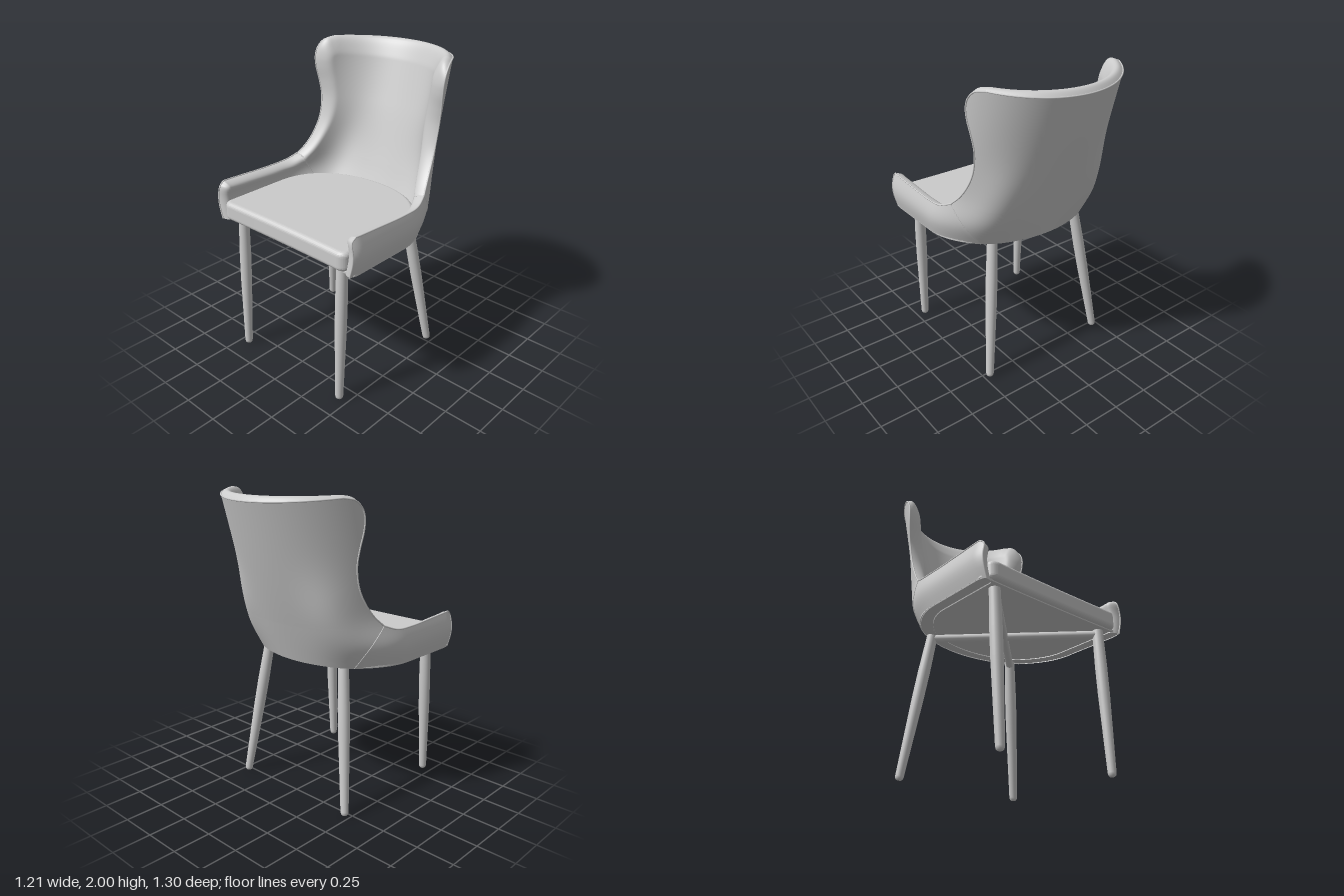
import * as THREE from 'three';

const BASE = 0.942;
const mat = new THREE.MeshStandardMaterial({ color: 0xcccccc, side: THREE.DoubleSide });
const V = (x, y, z = 0) => new THREE.Vector3(x, y, z);
const curve = pts => new THREE.CatmullRomCurve3(pts.map(p => V(...p)));
const ease = t => Math.sin(t * Math.PI / 2);
const bell = (v, mid, width) => Math.exp(-(((v - mid) / width) ** 2));
const { smoothstep, lerp, clamp } = THREE.MathUtils;

// Plan of the shell at height y: half ellipse behind, straight sides in front
function plan(y) {
  const t = (y - BASE) / 1.055;
  return {
    w: 0.555 + 0.05 * bell(y, 1.07, 0.145),
    zb: -0.292 - 0.358 * t - 0.016 * Math.sin(Math.PI * t),
    d: 0.47 + 0.1 * t,
  };
}
const angleAt = (z, y) => {
  const { zb, d } = plan(y);
  return Math.acos(clamp(1 - (z - zb) / d, 0, 1));
};
// Outer point and its outward direction, from angle s (and z once the side runs straight)
function shellPoint(s, y, z, side = 1) {
  const { w, zb, d } = plan(y);
  const n = V(d * Math.sin(s), 0, -w * Math.cos(s)).normalize();
  const middle = Math.max(0, Math.cos(s * 1.45));
  const tuck = z > 0.57 ? 0.018 * ((z - 0.57) / 0.07) ** 2 : 0;
  const dip = 0.028 * middle * clamp((y - 1.2) / 0.8, 0, 1);
  const p = V((w - tuck) * Math.sin(s), y - dip, z ?? zb + d * (1 - Math.cos(s)));
  // Fuller rear corners low on the back
  p.addScaledVector(n, 0.04 * bell(Math.abs(s), 0.7, 0.3) * bell(y, 1.25, 0.25));
  p.x *= side;
  n.x *= side;
  return {
    p, n, t: lerp(0.076, 0.095, smoothstep(y, 1.1, 1.6)),
    roll: lerp(0.05, 0.1, smoothstep(y, 1.2, 1.6)),
    crown: lerp(0.03, 0.05, middle) * smoothstep(y, 1.85, 1.96),
  };
}
const sidePoint = (q, side) => shellPoint(angleAt(q.x, q.y), q.y, q.x, side);

// Outlines in the side plane, as (z, y)
const seam = curve([[-0.15, BASE], [-0.135, 1.05], [-0.1, 1.13], [-0.04, 1.215]]);
const wing = curve([[-0.04, 1.215], [-0.1, 1.275], [-0.165, 1.37], [-0.21, 1.47], [-0.235, 1.6], [-0.23, 1.7],
  [-0.215, 1.8], [-0.215, 1.87], [-0.235, 1.925], [-0.28, 1.969], [-0.35, 1.985]]);
const armTop = curve([[-0.04, 1.215], [0.05, 1.182], [0.2, 1.175], [0.45, 1.185], [0.602, 1.192]]);
const armFront = curve([[0.638, BASE], [0.638, 1.08], [0.632, 1.165], [0.602, 1.192]]);
const TOP = wing.getPoint(1);

// The whole rim, from the front of one arm round to the other
function rimPath() {
  const half = [...armFront.getPoints(50), ...armTop.getPoints(100).reverse().slice(1), ...wing.getPoints(60).slice(1)];
  const left = half.map(q => sidePoint(q, 1).p);
  const right = half.map(q => sidePoint(q, -1).p).reverse();
  const sE = angleAt(TOP.x, TOP.y);
  const top = [];
  for (let i = 1; i < 120; i++) top.push(shellPoint(sE * (1 - i / 60), TOP.y).p);
  return [...left, ...top, ...right];
}

// Grid surface; fn(i, j) returns a point
function grid(nu, nv, fn, flip) {
  const pos = [], idx = [];
  for (let j = 0; j <= nv; j++) for (let i = 0; i <= nu; i++) pos.push(...fn(i, j).toArray());
  for (let j = 0; j < nv; j++) for (let i = 0; i < nu; i++) {
    const a = j * (nu + 1) + i, b = a + 1, c = a + nu + 1, e = c + 1;
    idx.push(...(flip ? [a, e, b, a, c, e] : [a, b, e, a, e, c]));
  }
  const g = new THREE.BufferGeometry();
  g.setAttribute('position', new THREE.Float32BufferAttribute(pos, 3));
  g.setIndex(idx);
  g.computeVertexNormals();
  return g;
}

function add(parent, geo, name) {
  const m = new THREE.Mesh(geo, mat);
  m.name = name;
  parent.add(m);
  return m;
}
const tube = (pts, r) => new THREE.TubeGeometry(new THREE.CatmullRomCurve3(pts), pts.length, r, 8);

// Flat U-shaped slab: nearly straight front, rounded back, extruded downward from yTop
function slab(w, front, mid, back, e, yTop, h, bevel) {
  const s = new THREE.Shape();
  const x = w - bevel, f = front - bevel, r = 0.025;
  s.moveTo(x, f - r);
  s.quadraticCurveTo(x, f - 0.003, x - r, f);
  s.quadraticCurveTo(0, f - 0.012, -x + r, f);
  s.quadraticCurveTo(-x, f - 0.003, -x, f - r);
  for (let i = 0; i <= 40; i++) {
    const a = Math.PI * i / 40, c = Math.cos(a);
    s.lineTo(-x * Math.sign(c) * Math.abs(c) ** e, mid - (mid - back - bevel) * Math.sin(a) ** e);
  }
  s.closePath();
  const g = new THREE.ExtrudeGeometry(s, {
    depth: h - 2 * bevel, bevelEnabled: bevel > 0, bevelSize: bevel, bevelThickness: bevel, bevelSegments: 6,
  });
  return g.rotateX(Math.PI / 2).translate(0, yTop - bevel, 0);
}

export function createModel() {
  const chair = new THREE.Group();
  chair.name = 'chair';
  const rim = rimPath();
  const rimLines = rim.slice(1).map((p, i) => new THREE.Line3(rim[i], p));

  // Padded inner face: full thickness inside, rolling to nothing at the rim, crowned along the top
  const near = V(0, 0);
  const inner = ({ p, n, t, roll, crown }) => {
    let d = Infinity;
    for (const l of rimLines) d = Math.min(d, l.closestPointToPoint(p, true, near).distanceToSquared(p));
    const k = 1 - clamp((Math.sqrt(d) - 0.001) / roll, 0, 1);
    const f = (1 - k * k) ** 0.65;
    const q = p.clone().addScaledVector(n, -t * f);
    q.y += crown * Math.sin(Math.PI * f);
    return q;
  };

  // Backrest, in rows from the base up the seam and wing
  const NS = 20;
  const edge = [];
  for (let j = 0; j <= NS; j++) edge.push(seam.getPoint(ease(j / NS)));
  edge.push(...wing.getPoints(60).slice(1));
  const backAt = (i, j) => {
    const q = edge[j];
    return shellPoint(angleAt(q.x, q.y) * ease(i / 40 - 1), q.y);
  };
  add(chair, grid(80, edge.length - 1, (i, j) => backAt(i, j).p, true), 'backrestOuter');
  add(chair, grid(80, edge.length - 1, (i, j) => inner(backAt(i, j)), false), 'backrestPadding');

  // Arms, blended between seam, front edge, base and top
  const c00 = seam.getPoint(0), c01 = seam.getPoint(1), c10 = armFront.getPoint(0), c11 = armFront.getPoint(1);
  const armAt = (i, j, side) => {
    const u = ease(i / 40), v = ease(j / NS);
    const q = c00.clone().lerp(c10, u).multiplyScalar(1 - v)
      .addScaledVector(armTop.getPoint(u), v)
      .addScaledVector(seam.getPoint(v), 1 - u)
      .addScaledVector(armFront.getPoint(v), u)
      .sub(c00.clone().lerp(c10, u).lerp(c01.clone().lerp(c11, u), v));
    return sidePoint(q, side);
  };
  for (const [side, label] of [[1, 'left'], [-1, 'right']]) {
    add(chair, grid(40, NS, (i, j) => armAt(i, j, side).p, side > 0), label + 'ArmOuter');
    add(chair, grid(40, NS, (i, j) => inner(armAt(i, j, side)), side < 0), label + 'ArmPadding');
    // Seams where arm meets backrest
    const line = seam.getPoints(24).map(q => sidePoint(q, side));
    add(chair, tube(line.map(q => q.p), 0.003), label + 'OuterSeam');
    add(chair, tube(line.map(inner), 0.003), label + 'InnerSeam');
  }
  add(chair, tube(rim, 0.005), 'rimPiping');

  // Seat cushion and underside panel
  add(chair, slab(0.53, 0.653, 0.16, -0.27, 0.92, 1.08, 0.125, 0.03), 'seatCushion');
  add(chair, slab(0.58, 0.625, 0.175, -0.292, 0.96, 0.96, 0.012, 0), 'undersidePanel');

  // Tapered legs with rounded feet
  const up = V(0, 1, 0);
  const align = (m, a, b) => {
    m.position.copy(a);
    m.quaternion.setFromUnitVectors(up, b.clone().sub(a).normalize());
  };
  const legGeo = new THREE.LatheGeometry([[0, 0], [0.016, 0.002], [0.023, 0.01], [0.026, 0.025], [0.031, 0.25],
    [0.037, 0.52], [0.038, 0.7], [0.034, 0.95]].map(p => new THREE.Vector2(...p)), 24);
  for (const side of [1, -1]) {
    const label = side > 0 ? 'left' : 'right';
    align(add(chair, legGeo, label + 'FrontLeg'), V(side * 0.435, 0, 0.6), V(side * 0.437, 0.95, 0.565));
    align(add(chair, legGeo, label + 'BackLeg'), V(side * 0.46, 0, -0.28), V(side * 0.335, 0.95, -0.162));
    // Crossed braces from each front leg to the opposite back leg
    const a = V(side * 0.435, 0.918 + side * 0.004, 0.57), b = V(-side * 0.34, 0.912 + side * 0.004, -0.165);
    const bar = new THREE.CylinderGeometry(0.025, 0.025, a.distanceTo(b), 16).translate(0, a.distanceTo(b) / 2, 0);
    align(add(chair, bar, label + 'CrossBrace'), a, b);
  }
  return chair;
}
